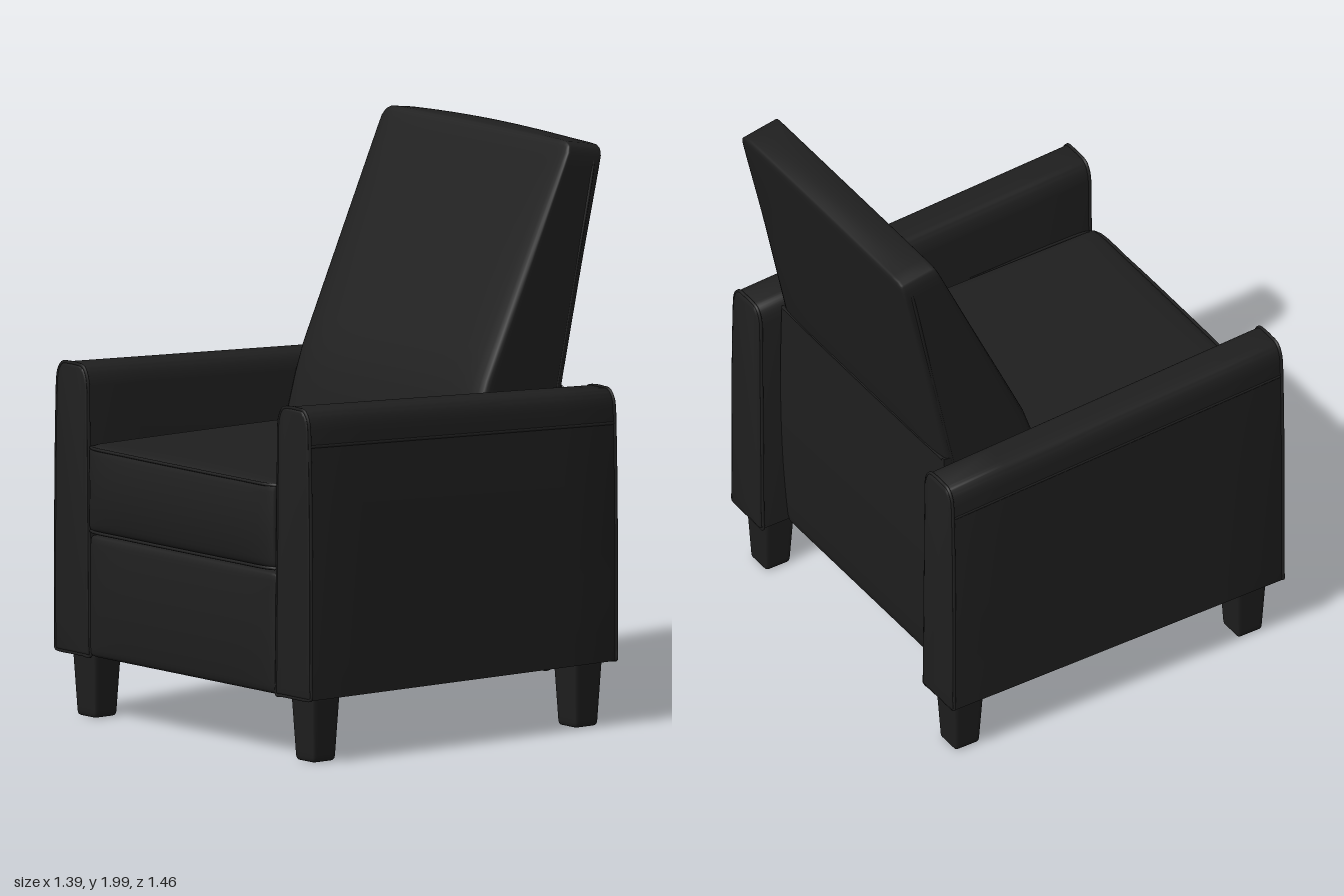
import * as THREE from 'three';
import { mergeVertices, toCreasedNormals } from 'three/addons/utils/BufferGeometryUtils.js';

const upholstery = new THREE.MeshStandardMaterial({ color: 0x1f1f1f });
upholstery.name = 'charcoal upholstery';
const legFinish = new THREE.MeshStandardMaterial({ color: 0x1e1e1e });
legFinish.name = 'black leg finish';

function part(name, geometry, material = upholstery) {
  const mesh = new THREE.Mesh(geometry, material);
  mesh.name = name;
  return mesh;
}

// Move every vertex by a rule
function deform(geometry, rule) {
  const p = geometry.attributes.position;
  const v = new THREE.Vector3();
  for (let i = 0; i < p.count; i++) {
    rule(v.fromBufferAttribute(p, i));
    p.setXYZ(i, v.x, v.y, v.z);
  }
  geometry.computeVertexNormals();
  return geometry;
}

// Rounded box with swollen top, bottom, front and back; the rule shapes it further
function cushion(size, centre, radius, bulgeY, bulgeZ, rule = () => {}) {
  const box = new THREE.BoxGeometry(2, 2, 2, 18, 18, 18);
  box.deleteAttribute('uv');
  box.deleteAttribute('normal');
  const half = new THREE.Vector3(...size).multiplyScalar(0.5);
  const inner = half.clone().subScalar(radius);
  const core = new THREE.Vector3();
  const middle = new THREE.Vector3(...centre);
  return deform(mergeVertices(box), (v) => {
    // crowd the rows towards the edges, where the rounding is
    const [a, b, c] = v.toArray().map((t) => Math.sin(t * Math.PI / 2));
    v.set(a, b, c).multiply(half);
    core.copy(v).clamp(inner.clone().negate(), inner);
    v.sub(core).setLength(radius).add(core);
    v.y += Math.sign(b) * bulgeY * (1 - a * a) * (1 - c * c) * b * b;
    v.z += Math.sign(c) * bulgeZ * (1 - a ** 8) * (1 - b * b) * c * c;
    rule(v.add(middle));
  });
}

// Thin sewn welt through a few points
function welt(name, points, closed = false) {
  const curve = new THREE.CatmullRomCurve3(
    points.map((p) => new THREE.Vector3(...p)), closed, 'centripetal');
  return part(name, new THREE.TubeGeometry(curve, points.length * 8, 0.006, 6, closed));
}

// Arm tops fall gently towards the back
const armDrop = (y, z) => (0.7 - z) * 0.0485 * (y - 0.225) / 0.995;

function arm(side) {
  const group = new THREE.Group();
  group.name = side > 0 ? 'leftArm' : 'rightArm';
  const s = new THREE.Shape();
  const x = (value) => value * side;
  s.moveTo(x(0.503), 0.225);
  s.lineTo(x(0.689), 0.225);
  s.bezierCurveTo(x(0.692), 0.6, x(0.689), 0.95, x(0.68), 1.15);
  s.quadraticCurveTo(x(0.675), 1.22, x(0.632), 1.22);
  s.lineTo(x(0.563), 1.22);
  s.quadraticCurveTo(x(0.522), 1.22, x(0.514), 1.15);
  s.lineTo(x(0.503), 0.225);
  const outline = s.getSpacedPoints(60).slice(0, -1);
  const panel = new THREE.ExtrudeGeometry(s, {
    depth: 1.316, steps: 6, curveSegments: 10,
    bevelThickness: 0.014, bevelSize: 0.012, bevelOffset: -0.012, bevelSegments: 3,
  });
  panel.translate(0, 0, -0.632);
  deform(panel, (v) => { v.y -= armDrop(v.y, v.z); });
  group.add(part('armPanel', toCreasedNormals(panel, 0.7)));

  // Welts round both ends, and the seam along the outer side
  for (const z of [0.691, -0.636]) {
    group.add(welt('armEndWelt', outline.map((p) => [p.x, p.y - armDrop(p.y, z), z]), true));
  }
  group.add(welt('armSideSeam', [0.685, 0.2, -0.3, -0.63].map((z) =>
    [x(0.679), 1.097 - armDrop(1.097, z), z])));
  return group;
}

// Square tapered leg with softened corners
function leg(x, z) {
  return part('leg', cushion([0.124, 0.25, 0.124], [x, 0.125, z], 0.016, 0, 0, (v) => {
    const taper = 0.8 + 0.2 * Math.min(v.y / 0.225, 1);
    v.x = x + (v.x - x) * taper;
    v.z = z + (v.z - z) * taper;
  }), legFinish);
}

// Front and back faces of the leaning backrest
const backFront = (y) => -0.208 - (y - 1.17) * (y < 1.17 ? 0.28 : 0.465);
const backRear = (y) => -0.56 - (y - 1.17) * 0.21;

export function createModel() {
  const chair = new THREE.Group();
  chair.name = 'reclinerChair';

  for (const side of [1, -1]) {
    chair.add(arm(side), leg(side * 0.59, 0.592), leg(side * 0.59, -0.549));
  }

  // Seat cushion and footrest panel
  chair.add(part('seatCushion',
    cushion([1.012, 0.305, 1.15], [0, 0.803, 0.129], 0.025, 0.016, 0.026)));
  chair.add(part('footrestPanel',
    cushion([1.012, 0.42, 0.12], [0, 0.433, 0.637], 0.02, 0, 0.018)));
  for (const y of [0.942, 0.656]) {
    chair.add(welt('seatWelt', [[-0.503, y, 0.2], [-0.503, y, 0.68], [-0.485, y, 0.7],
      [-0.3, y, 0.708], [0, y, 0.71], [0.3, y, 0.708],
      [0.485, y, 0.7], [0.503, y, 0.68], [0.503, y, 0.2]]));
  }

  // Backrest: a slab sheared to lean and taper towards the top
  chair.add(part('backrest',
    cushion([1.012, 1.17, 1], [0, 1.403, 0], 0.045, 0.016, 0.025, (v) => {
      const t = v.z + 0.5;
      const y = v.y;
      v.z = THREE.MathUtils.lerp(backRear(y), backFront(y), t);
      v.y -= 0.026 * (1 - t) * THREE.MathUtils.smoothstep(y, 1.5, 2);
    })));
  const edge = [[0.502, 1], [0.502, 1.5], [0.502, 1.9], [0.493, 1.942], [0.47, 1.958]];
  const half = edge.map(([x, y]) => [x, y, backRear(y) + 0.028]);
  chair.add(welt('backrestWelt', [...half, [0, 1.963, backRear(1.963) + 0.026],
    ...half.map(([x, y, z]) => [-x, y, z]).reverse()]));

  // Lower body: rear panel, curled lower edge and shallow hollow underside
  const s = new THREE.Shape();
  s.moveTo(0.62, 0.23);
  s.lineTo(0.62, 0.7);
  s.lineTo(-0.3, 0.7);
  s.lineTo(-0.4, 1.13);
  s.lineTo(-0.558, 1.15);
  s.bezierCurveTo(-0.57, 0.8, -0.56, 0.5, -0.535, 0.25);
  s.quadraticCurveTo(-0.525, 0.182, -0.48, 0.182);
  s.quadraticCurveTo(-0.44, 0.186, -0.41, 0.225);
  s.bezierCurveTo(-0.3, 0.31, 0.2, 0.26, 0.62, 0.23);
  const body = new THREE.ExtrudeGeometry(s, { depth: 1.012, bevelEnabled: false, curveSegments: 12 });
  body.translate(0, 0, -0.506);
  body.rotateY(-Math.PI / 2);
  chair.add(part('lowerBody', toCreasedNormals(body, 0.6)));
  chair.add(welt('rearSeam', [[-0.5, 1.148, -0.558], [0, 1.148, -0.56], [0.5, 1.148, -0.558]]));

  return chair;
}
